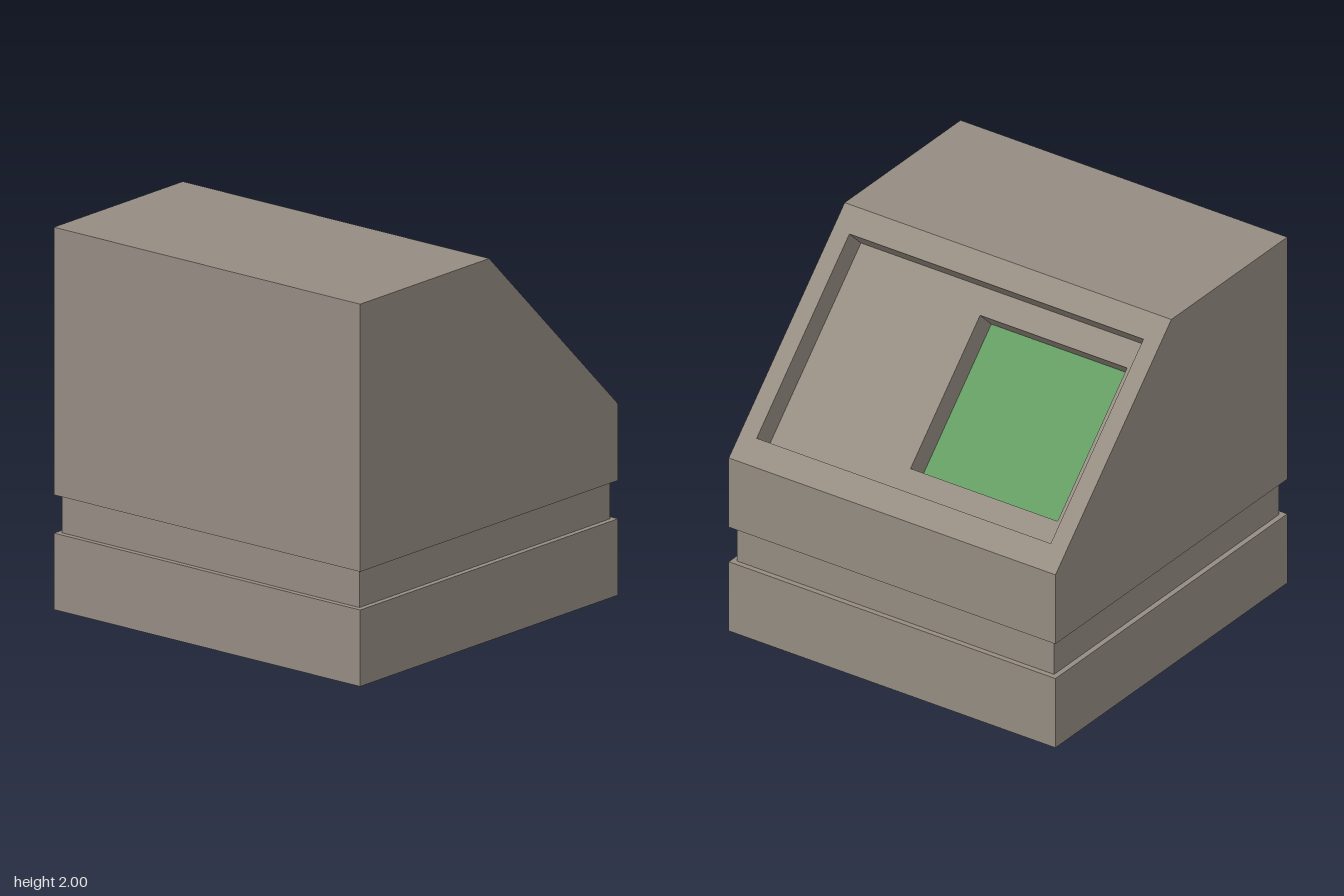
import * as THREE from 'three';

const casing = new THREE.MeshStandardMaterial({ name: 'warmGrey', color: 0x958c82 });
const green = new THREE.MeshStandardMaterial({ name: 'screenGreen', color: 0x639c62 });

function add(parent, name, geometry, material, x = 0, y = 0, z = 0) {
  const mesh = new THREE.Mesh(geometry, material);
  mesh.name = name;
  mesh.position.set(x, y, z);
  parent.add(mesh);
  return mesh;
}

// Rectangle outline from corner to corner
function rect(Type, x0, y0, x1, y1) {
  return new Type([[x0, y0], [x1, y0], [x1, y1], [x0, y1]].map(([x, y]) => new THREE.Vector2(x, y)));
}

export function createModel() {
  const model = new THREE.Group();
  model.name = 'console';

  // Base block and the narrower band above it
  add(model, 'base', new THREE.BoxGeometry(2, 0.4, 2), casing, 0, 0.2, 0);
  add(model, 'grooveBand', new THREE.BoxGeometry(1.94, 0.2, 1.94), casing, 0, 0.5, 0);

  // Upper housing: side profile as (-z, y), with a notch for the sloped panel layers
  const profile = [[-1, 0.6], [1, 0.6], [1, 1], [0.8, 0.8], [-0.2, 1.8], [0, 2], [-1, 2]];
  const side = new THREE.Shape(profile.map(([x, y]) => new THREE.Vector2(x, y)));
  const housing = new THREE.ExtrudeGeometry(side, { depth: 2, bevelEnabled: false });
  housing.rotateY(Math.PI / 2);
  add(model, 'housing', housing, casing, -1, 0, 0);

  // Sloped panel: local y runs up the slope, local z points out of it
  const panel = new THREE.Group();
  panel.name = 'slopedPanel';
  panel.position.set(0, 1, -1);
  panel.rotation.set(Math.PI / 4, Math.PI, 0);
  model.add(panel);

  // Two stacked frames make the stepped recess
  const s = Math.SQRT2;
  const depth = 0.1 * s;
  const frames = [
    ['outerFrame', [-0.9, 0.1 * s, 0.9, 0.9 * s]],
    ['innerFrame', [-0.1, 0.2 * s, 0.8, 0.8 * s]],
  ];
  frames.forEach(([name, hole], i) => {
    const shape = rect(THREE.Shape, -1, 0, 1, s);
    shape.holes.push(rect(THREE.Path, ...hole));
    const geometry = new THREE.ExtrudeGeometry(shape, { depth, bevelEnabled: false });
    add(panel, name, geometry, casing, 0, 0, -depth * (i + 1));
  });

  // Thin screen on the recess floor
  add(panel, 'screen', new THREE.BoxGeometry(0.9, 0.6 * s, 0.004), green, 0.35, 0.5 * s, -2 * depth + 0.002);

  return model;
}
